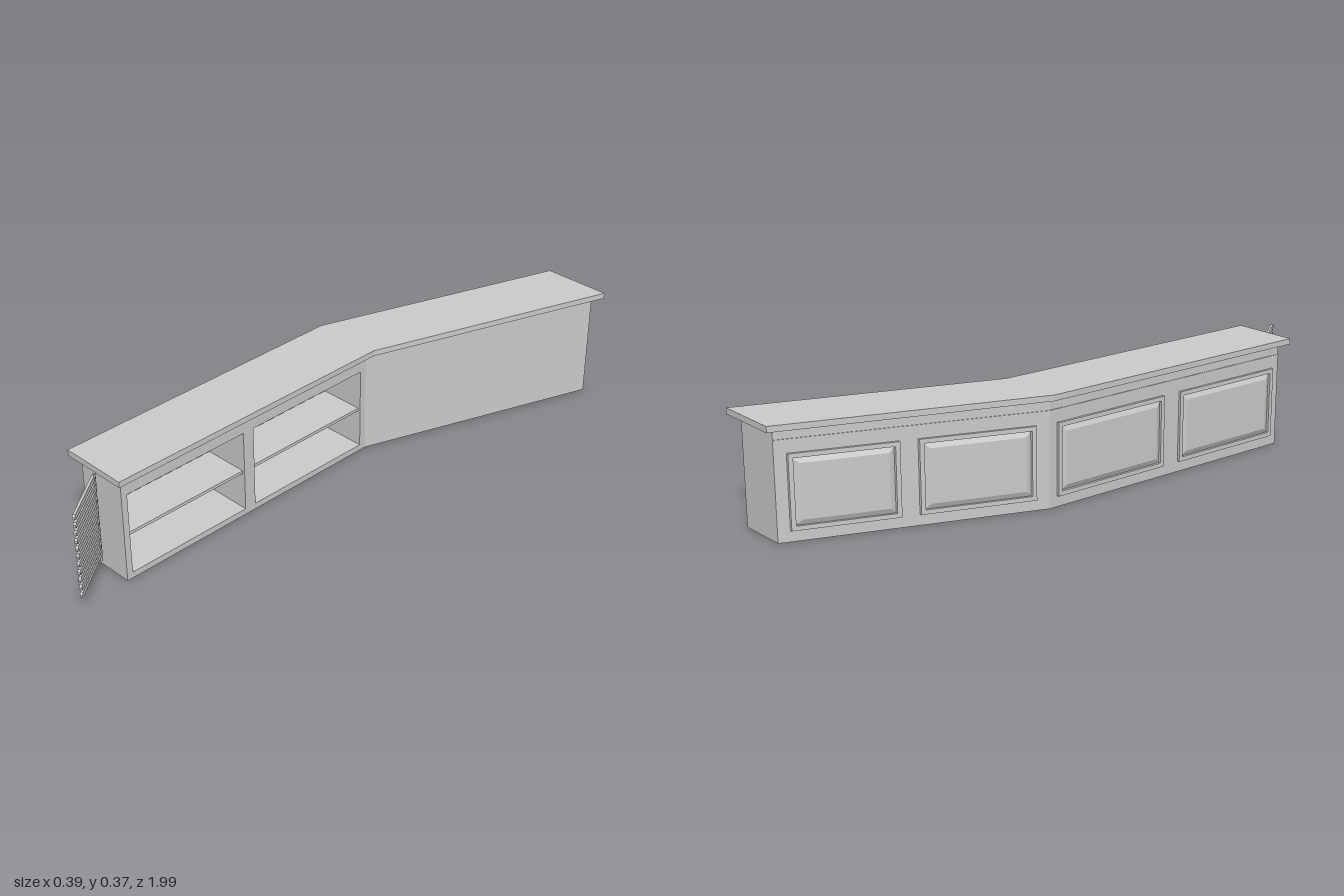
import * as THREE from 'three';

const material = new THREE.MeshStandardMaterial({ color: 0xcccccc });

// Plan corners [x, z] of each wing: left/right at its rear end, left/right at its front end
const bodyRear = [[0, -0.94], [0.168, -0.965], [-0.17, -0.135], [-0.002, -0.158]];
const bodyFront = [[-0.17, -0.135], [-0.002, -0.158], [-0.038, 0.833], [0.13, 0.81]];
const topRear = [[-0.035, -0.97], [0.19, -1.0], [-0.2, -0.135], [0.025, -0.168]];
const topFront = [[-0.2, -0.135], [0.025, -0.168], [-0.065, 0.86], [0.16, 0.83]];

// A block inside a wing: s runs left to right, t rear to front.
// bevelT and bevelY shrink its left face, to make a raised panel.
function block(parent, name, wing, [s0, s1], [y0, y1], [t0, t1], bevelT = 0, bevelY = 0) {
  const geo = new THREE.BoxGeometry(1, 1, 1).toNonIndexed();
  const p = geo.attributes.position;
  const [a, b, c, d] = wing;
  for (let i = 0; i < p.count; i++) {
    const left = p.getX(i) < 0 ? 1 : 0;
    const low = p.getY(i) < 0, rear = p.getZ(i) < 0;
    const s = left ? s0 : s1;
    const y = low ? y0 + left * bevelY : y1 - left * bevelY;
    const t = rear ? t0 + left * bevelT : t1 - left * bevelT;
    const at = (k) => (a[k] * (1 - s) + b[k] * s) * (1 - t) + (c[k] * (1 - s) + d[k] * s) * t;
    p.setXYZ(i, at(0), y, at(1));
  }
  geo.computeVertexNormals();
  const mesh = new THREE.Mesh(geo, material);
  mesh.name = name;
  parent.add(mesh);
}

// Framed raised panel on the left face of a wing
function framedPanel(parent, wing, t0, t1, w) {
  const g = new THREE.Group();
  g.name = 'framedPanel';
  const s = [-0.05, 0], y0 = 0.035, y1 = 0.268, h = 0.014;
  block(g, 'frameRail', wing, s, [y0, y0 + h], [t0, t1]);
  block(g, 'frameRail', wing, s, [y1 - h, y1], [t0, t1]);
  block(g, 'frameStile', wing, s, [y0 + h, y1 - h], [t0, t0 + w]);
  block(g, 'frameStile', wing, s, [y0 + h, y1 - h], [t1 - w, t1]);
  block(g, 'raisedPanel', wing, [-0.045, 0], [y0 + h, y1 - h], [t0 + w, t1 - w], w * 1.3, 0.017);
  parent.add(g);
}

function createGate() {
  const gate = new THREE.Group();
  gate.name = 'gate';
  const length = 0.205, h = 0.009;
  // Slat outline with a blunted free end
  const outline = new THREE.Shape([[0, -h], [length - 0.007, -h], [length, -h * 0.4],
    [length, h * 0.4], [length - 0.007, h], [0, h]].map(([x, y]) => new THREE.Vector2(x, y)));
  const slatGeo = new THREE.ExtrudeGeometry(outline, { depth: 0.008, bevelEnabled: false });
  slatGeo.translate(0, 0, -0.004);
  for (let i = 0; i < 11; i++) {
    const slat = new THREE.Mesh(slatGeo, material);
    slat.name = 'gateSlat';
    slat.position.y = 0.07 + i * 0.0263;
    gate.add(slat);
  }
  const post = new THREE.Mesh(new THREE.CylinderGeometry(0.0035, 0.0035, 0.3, 10), material);
  post.name = 'gatePost';
  post.position.set(0.01, 0.197, -0.003);
  gate.add(post);
  gate.position.set(0.049, 0, 0.844);
  gate.rotation.y = -Math.atan2(0.148, 0.142);
  return gate;
}

export function createModel() {
  const model = new THREE.Group();
  model.name = 'angledCounter';

  // Countertop
  const top = new THREE.Group();
  top.name = 'countertop';
  for (const wing of [topRear, topFront]) block(top, 'countertopWing', wing, [0, 1], [0.347, 0.366], [0, 1]);
  model.add(top);

  // Closed rear cabinet
  block(model, 'rearCabinet', bodyRear, [0, 1], [0, 0.347], [0, 1]);

  // Front cabinet, open on the right side
  const cabinet = new THREE.Group();
  cabinet.name = 'shelfCabinet';
  const low = 0.02, high = 0.29, back = 0.08;
  block(cabinet, 'cabinetBack', bodyFront, [0, back], [0, 0.347], [0, 1]);
  block(cabinet, 'cabinetFloor', bodyFront, [back, 1], [0, low], [0, 1]);
  block(cabinet, 'cabinetHeader', bodyFront, [back, 1], [high, 0.347], [0, 1]);
  for (const t of [[0, 0.024], [0.489, 0.53], [0.979, 1]]) {
    block(cabinet, 'cabinetUpright', bodyFront, [back, 1], [low, high], t);
  }
  for (const t of [[0.024, 0.489], [0.53, 0.979]]) {
    block(cabinet, 'shelf', bodyFront, [back, 0.95], [0.144, 0.154], t);
  }
  model.add(cabinet);

  // Panels and trim on the left side
  for (const [t0, t1] of [[0.045, 0.44], [0.51, 0.945]]) framedPanel(model, bodyRear, t0, t1, 0.017);
  for (const [t0, t1] of [[0.03, 0.47], [0.54, 0.97]]) framedPanel(model, bodyFront, t0, t1, 0.014);
  for (const wing of [bodyRear, bodyFront]) block(model, 'trimStrip', wing, [-0.015, 0], [0.304, 0.311], [0, 1]);

  model.add(createGate());
  return model;
}
